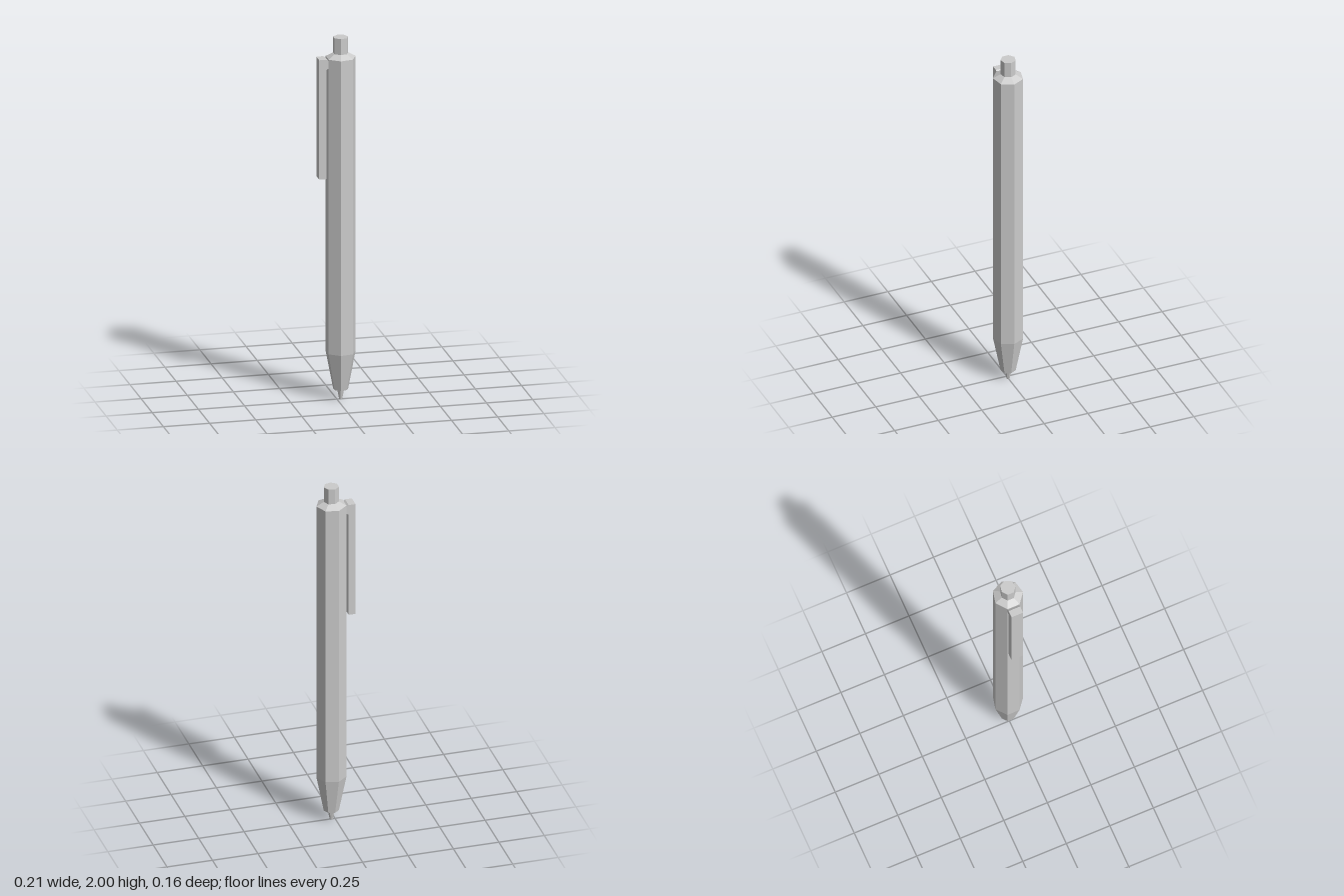
import * as THREE from 'three';

const SIDES = 7;
const AXIS_X = 0.0205; // the clip shifts the barrel axis off centre

export function createModel() {
  const group = new THREE.Group();
  group.name = 'pen';
  const material = new THREE.MeshStandardMaterial({ color: 0xcccccc, flatShading: true });

  const add = (name, geometry, x = 0, y = 0, z = 0) => {
    const mesh = new THREE.Mesh(geometry, material);
    mesh.name = name;
    mesh.position.set(x, y, z);
    group.add(mesh);
  };
  // Seven-sided turned part with one corner towards +x; profile is [radius, y] from the bottom up
  const turned = (name, profile) => add(name, new THREE.LatheGeometry(
    profile.map(([r, y]) => new THREE.Vector2(r, y)), SIDES, Math.PI / 2), AXIS_X);

  // Writing tip
  turned('tip', [[0, 0], [0.008, 0], [0.02, 0.056]]);
  // Barrel with tapered nose and chamfered shoulder
  turned('barrel', [[0, 0.056], [0.041, 0.056], [0.0815, 0.262], [0.0815, 1.89], [0.041, 1.912]]);
  // Push button
  turned('button', [[0.041, 1.912], [0.041, 2], [0, 2]]);

  // Clip bar
  add('clip', new THREE.BoxGeometry(0.038, 0.66, 0.066), -0.0845, 1.56, 0);

  // Bridge joining the clip to the barrel, sloping slightly down
  const bridge = new THREE.Shape([
    [-0.0655, 1.83], [-0.058, 1.838], [-0.05, 1.838], [-0.05, 1.878], [-0.0655, 1.89],
  ].map(([x, y]) => new THREE.Vector2(x, y)));
  add('clipBridge', new THREE.ExtrudeGeometry(bridge, { depth: 0.066, bevelEnabled: false }), 0, 0, -0.033);

  return group;
}
